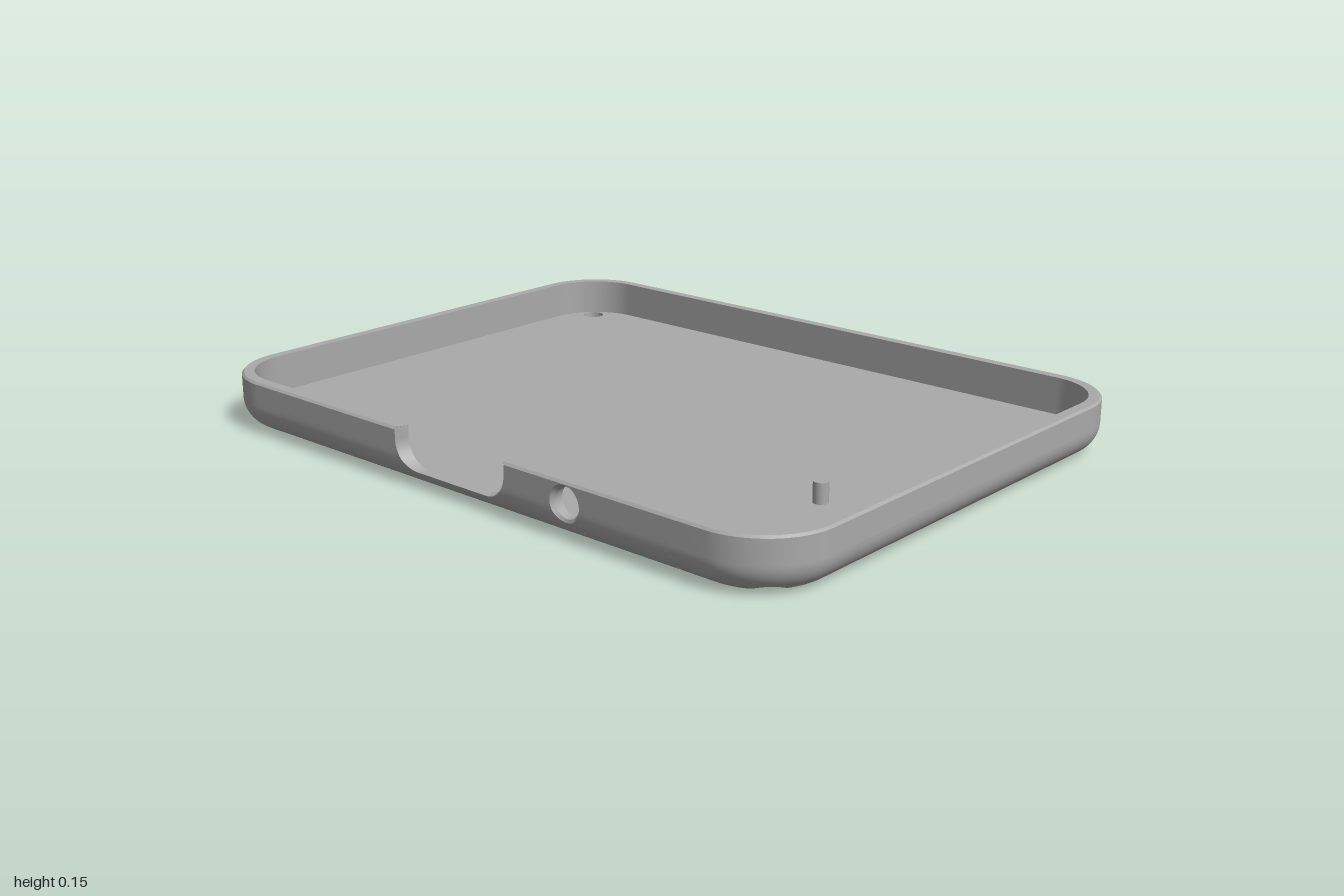
import * as THREE from 'three';

const HX = 1, HZ = 0.7625, TOP = 0.15, FLOOR = 0.045; // half sizes and heights
const R = 0.2, F = 0.08, WALL = 0.035;                // corner radius, bottom fillet, wall
const BEVEL = 0.006;
const PX = HX - 0.3, PZ = HZ - 0.3;                   // where the corner patches begin
const HOLE = { x: 0.892, z: 0.655, r: 0.032, bore: 0.046, depth: 0.025 };

// Grid of rows of points, joined into a smooth surface
function loft(rows, flip = false) {
  const n = rows[0].length, index = [];
  for (let i = 0; i < rows.length - 1; i++) {
    for (let j = 0; j < n - 1; j++) {
      const a = i * n + j, b = a + 1, c = a + n, d = c + 1;
      if (flip) index.push(a, c, b, b, c, d);
      else index.push(a, b, c, b, d, c);
    }
  }
  const g = new THREE.BufferGeometry();
  g.setAttribute('position', new THREE.Float32BufferAttribute(rows.flat(2), 3));
  g.setIndex(index);
  g.computeVertexNormals();
  return g;
}

const steps = (n, fn) => Array.from({ length: n + 1 }, (_, i) => fn(i / n));

// Rounded outline inset by d, from x0 on the front, round the back, to x1 on the front
function outline(d, x0, x1, y) {
  const pts = [[x0, y, HZ - d]];
  const corners = [[1, 1, 90], [1, -1, 0], [-1, -1, -90], [-1, 1, -180]];
  for (const [sx, sz, start] of corners) {
    for (const t of steps(16, (v) => v)) {
      const a = THREE.MathUtils.degToRad(start - 90 * t);
      pts.push([sx * (HX - R) + (R - d) * Math.cos(a), y, sz * (HZ - R) + (R - d) * Math.sin(a)]);
    }
  }
  pts.push([x1, y, HZ - d]);
  return pts;
}

// Height of the filleted underside at a point of the plan
function underside(x, z) {
  const qx = x - (HX - R), qz = z - (HZ - R);
  const d = Math.max(0, R - (qx > 0 && qz > 0 ? Math.hypot(qx, qz) : Math.max(qx, qz)));
  return d >= F ? 0 : F - Math.sqrt(F * F - (F - d) ** 2);
}

// Front face position at a height
const frontZ = (y) => HZ - (y >= F ? 0 : F - Math.sqrt(F * F - (F - y) ** 2));

// Edge of one corner patch of the underside, in plan
function patchEdge() {
  const e = [];
  const line = (x0, z0, x1, z1, n) => {
    for (let i = 0; i < n; i++) e.push([x0 + (x1 - x0) * i / n, z0 + (z1 - z0) * i / n]);
  };
  line(PX, PZ, HX - F, PZ, 10);
  for (let i = 0; i < 12; i++) e.push([HX - F + F * Math.sin(i / 12 * Math.PI / 2), PZ]);
  line(HX, PZ, HX, HZ - R, 4);
  for (let i = 0; i < 24; i++) {
    const a = i / 24 * Math.PI / 2;
    e.push([HX - R + R * Math.cos(a), HZ - R + R * Math.sin(a)]);
  }
  line(HX - R, HZ, PX, HZ, 4);
  for (let i = 0; i < 12; i++) e.push([PX, HZ - F + F * Math.cos(i / 12 * Math.PI / 2)]);
  line(PX, HZ - F, PX, PZ, 10);
  e.push([PX, PZ]);
  return e;
}

// U-shaped notch edge, left to right
function notchEdge(x0, x1) {
  const r = 0.075, pts = [];
  for (const a of steps(12, (t) => t * Math.PI / 2)) pts.push([x0 + r - r * Math.cos(a), FLOOR + r - r * Math.sin(a)]);
  for (const a of steps(12, (t) => t * Math.PI / 2)) pts.push([x1 - r + r * Math.sin(a), FLOOR + r - r * Math.cos(a)]);
  return pts;
}

export function createModel() {
  const model = new THREE.Group();
  const grey = new THREE.MeshStandardMaterial({ color: 0xaaaaaa, side: THREE.DoubleSide });
  grey.name = 'grey plastic';
  const add = (name, geometry, x = 0, y = 0, z = 0) => {
    const m = new THREE.Mesh(geometry, grey);
    m.name = name;
    m.position.set(x, y, z);
    model.add(m);
    return m;
  };

  // Walls round the sides and back, with a bevelled rim
  const lip = TOP - BEVEL, inZ = HZ - WALL;
  const N0 = -0.21, N1 = 0.162, E = 0.012; // notch ends and their flare
  add('outerWall', loft([outline(0, PX, -PX, F), outline(0, PX, -PX, lip)]));
  add('innerWall', loft([outline(WALL, PX, -PX, FLOOR), outline(WALL, PX, -PX, TOP)], true));
  add('rimBevel', loft([outline(0, N1 + E, N0 - E, lip), outline(BEVEL, N1 + E, N0 - E, TOP)]));
  add('rim', loft([outline(BEVEL, N1 + E, N0 - E, TOP), outline(WALL, N1, N0, TOP)]));

  // Front wall skins, made of vertical columns around the notch and the round port
  const port = { x: 0.375, y: 0.095 };
  const skin = (name, flare, portR, base, top, zAt, flip) => {
    const band = (cols) => add(name, loft(steps(16, (v) => cols.map(([x, lo, hi]) => {
      const y = lo + (hi - lo) * v * v;
      return [x, y, zAt(y)];
    })), flip));
    const a = N0 - flare, b = N1 + flare;
    for (const [x0, x1] of [[-PX, a], [b, port.x - portR], [port.x + portR, PX]]) {
      band([[x0, base, top], [x1, base, top]]);
    }
    band(notchEdge(a, b).map(([x, y]) => [x, base, y]));
    const arc = steps(24, (t) => [port.x - portR * Math.cos(t * Math.PI), portR * Math.sin(t * Math.PI)]);
    band(arc.map(([x, h]) => [x, base, port.y - h]));
    band(arc.map(([x, h]) => [x, port.y + h, top]));
  };
  skin('frontOuterWall', E, 0.048, 0, lip, frontZ, false);
  skin('frontInnerWall', 0, 0.04, FLOOR, TOP, () => inZ, true);

  // Cut faces of the notch and the port
  const withTops = (x0, x1) => [[x0, TOP], ...notchEdge(x0, x1), [x1, TOP]];
  add('notchEdge', loft([
    withTops(N0 - E, N1 + E).map(([x, y]) => [x, y, frontZ(y)]),
    withTops(N0, N1).map(([x, y]) => [x, y, inZ]),
  ]));
  const ring = (r, zAt) => steps(48, (t) => {
    const y = port.y + r * Math.sin(t * Math.PI * 2);
    return [port.x + r * Math.cos(t * Math.PI * 2), y, zAt(y)];
  });
  add('portChamfer', loft([ring(0.048, frontZ), ring(0.04, () => HZ - 0.01)], true));
  add('portEdge', loft([ring(0.04, () => HZ - 0.01), ring(0.04, () => inZ)], true));

  // Straight fillets along the left, right and back
  const fillet = (sx, sz, len) => loft([-len, len].map((s) => steps(12, (t) => {
    const o = F * Math.sin(t * Math.PI / 2), y = F - F * Math.cos(t * Math.PI / 2);
    return sx ? [sx * (HX - F + o), y, s] : [s, y, sz * (HZ - F + o)];
  })), sx < 0);
  add('rightFillet', fillet(-1, 0, PZ));
  add('leftFillet', fillet(1, 0, PZ));
  add('backFillet', fillet(0, -1, PX));

  // Flat underside between the corners
  const bx = HX - F, bz = HZ - F;
  const cross = [[PX, bz], [-PX, bz], [-PX, PZ], [-bx, PZ], [-bx, -PZ], [-PX, -PZ],
    [-PX, -bz], [PX, -bz], [PX, -PZ], [bx, -PZ], [bx, PZ], [PX, PZ]];
  add('underside', new THREE.ShapeGeometry(new THREE.Shape(cross.map((p) => new THREE.Vector2(...p)))).rotateX(Math.PI / 2));

  // Floor, with screw holes in three corners
  const floor = new THREE.Shape(outline(WALL, 0, 0, 0).slice(0, -1).map(([x, , z]) => new THREE.Vector2(x, -z)));
  const edge = patchEdge();
  for (const [sx, sz, open] of [[1, 1, true], [1, -1, true], [-1, -1, true], [-1, 1, false]]) {
    const flip = sx * sz > 0, cx = sx * HOLE.x, cz = sz * HOLE.z;
    const bore = open ? HOLE.bore : 0;
    const start = edge.map(([x, z]) => {
      const l = Math.hypot(x - HOLE.x, z - HOLE.z);
      return [HOLE.x + (x - HOLE.x) / l * bore, HOLE.z + (z - HOLE.z) / l * bore];
    });
    // Corner of the underside, running out from the screw recess
    add('undersideCorner', loft(steps(24, (v) => edge.map(([x, z], j) => {
      const t = Math.sin(v * Math.PI / 2);
      const px = start[j][0] + (x - start[j][0]) * t, pz = start[j][1] + (z - start[j][1]) * t;
      return [sx * px, underside(px, pz), sz * pz];
    })), flip));
    if (!open) continue;
    add('screwRecess', loft([
      start.map(([x, z]) => [sx * x, HOLE.depth, sz * z]),
      start.map(([x, z]) => [sx * x, underside(x, z), sz * z]),
    ], flip));
    add('screwSeat', new THREE.RingGeometry(HOLE.r, HOLE.bore, 40).rotateX(Math.PI / 2), cx, HOLE.depth, cz);
    add('screwHole', new THREE.CylinderGeometry(HOLE.r, HOLE.r, FLOOR - HOLE.depth, 40, 1, true),
      cx, (FLOOR + HOLE.depth) / 2, cz);
    floor.holes.push(new THREE.Path().absarc(cx, -cz, HOLE.r, 0, Math.PI * 2, true));
  }
  add('floor', new THREE.ShapeGeometry(floor, 20).rotateX(-Math.PI / 2), 0, FLOOR, 0);

  // Locating pegs and block
  const peg = 0.055;
  for (const z of [0.25, 0.655]) {
    add('peg', new THREE.CylinderGeometry(0.02, 0.02, peg, 24), 0.73, FLOOR + peg / 2, z);
  }
  add('block', new THREE.BoxGeometry(0.048, peg, 0.036), -0.645, FLOOR + peg / 2, inZ - 0.018);
  return model;
}
